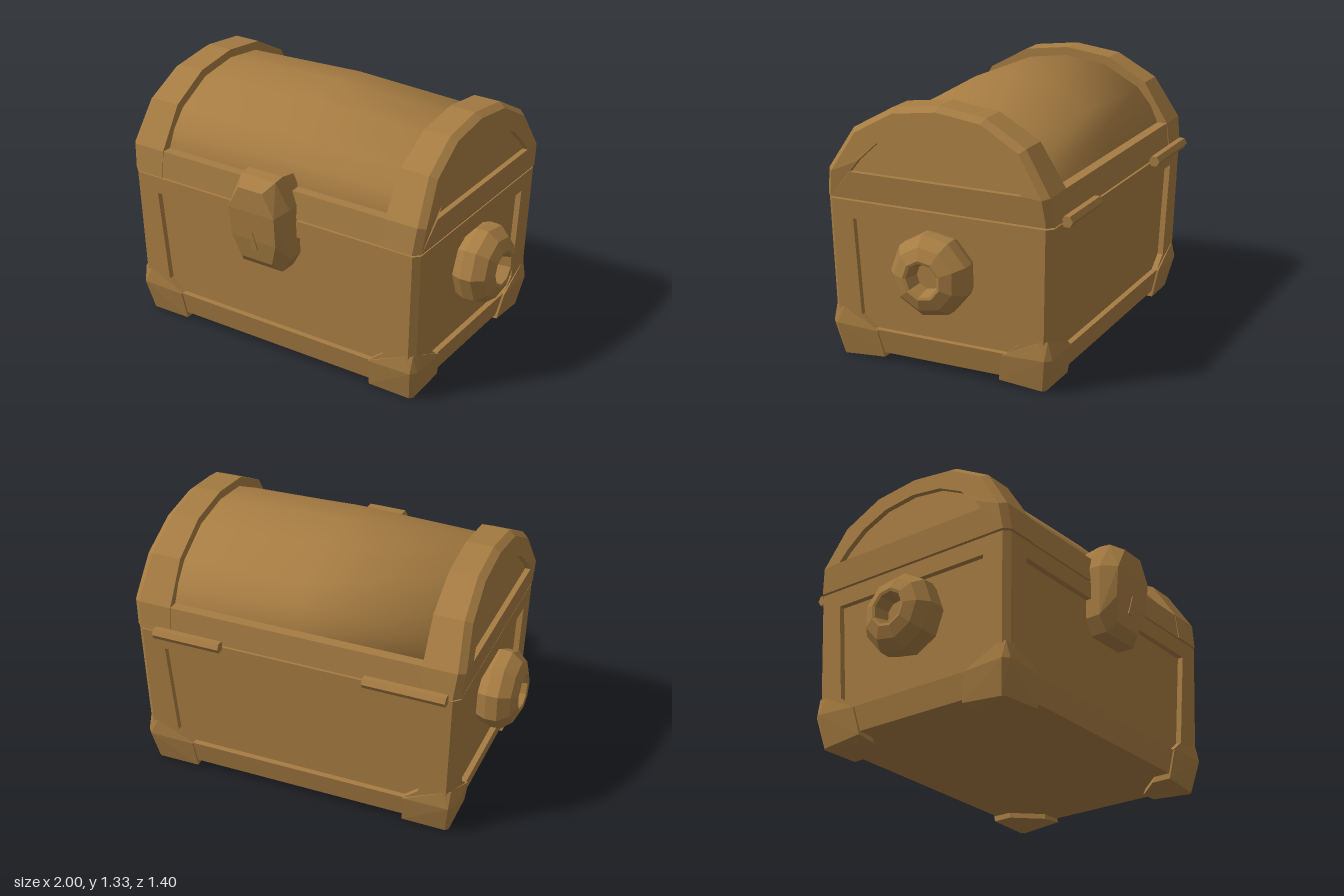
import * as THREE from 'three';
import { ConvexGeometry } from 'three/addons/geometries/ConvexGeometry.js';

const wood = new THREE.MeshStandardMaterial({ color: 0xa67c42, side: THREE.DoubleSide });
wood.name = 'brown wood';
const CENTRE_Z = -0.045; // the chest sits slightly behind the latch

const V = (x, y, z) => new THREE.Vector3(x, y, z);

function flat(geometry) {
  const g = geometry.index ? geometry.toNonIndexed() : geometry;
  g.computeVertexNormals();
  return g;
}

function add(parent, name, geometry, x = 0, y = 0, z = 0) {
  const mesh = new THREE.Mesh(geometry, wood);
  mesh.name = name;
  mesh.position.set(x, y, z);
  parent.add(mesh);
  return mesh;
}

// Joins closed rings of equal length and caps both ends
function loft(rings) {
  const n = rings[0].length;
  const pts = rings.flat();
  const index = [];
  for (let r = 0; r < rings.length - 1; r++) {
    for (let i = 0; i < n; i++) {
      const a = r * n + i, b = r * n + (i + 1) % n;
      index.push(a, b, b + n, a, b + n, a + n);
    }
  }
  const last = (rings.length - 1) * n;
  for (let i = 1; i < n - 1; i++) {
    index.push(0, i + 1, i);
    index.push(last, last + i, last + i + 1);
  }
  const g = new THREE.BufferGeometry().setFromPoints(pts);
  g.setIndex(index);
  g.computeVertexNormals();
  return g;
}

// Horizontal rectangle with cut corners, for lofting upwards
function rectRing(y, hx, hz, c) {
  return [[hx, hz - c], [hx - c, hz], [c - hx, hz], [-hx, hz - c],
    [-hx, c - hz], [c - hx, -hz], [hx - c, -hz], [hx, c - hz]]
    .map(([x, z]) => V(x, y, z)).reverse();
}

// Mirrors half an arch ending at its crown: [z, y] points from front to back
const arch = (half) => [...half, ...half.slice(0, -1).reverse().map(([z, y]) => [-z, y])];

// Flaring walls of the body
const halfX = (y) => 0.83 + 0.02 * (y - 0.165) / 0.655;
const halfZ = (y) => 0.585 + 0.015 * (y - 0.165) / 0.655;
const DEPTH = 0.03;

// Raised frame around one sunken wall panel, with chamfered outer edges
function wallFrame(width, distance, [top, low, foot]) {
  const half = [[width(0.165) - DEPTH, 0.165], [width(0.82) - DEPTH, 0.82]];
  const inner = [[top, 0.73], [low, 0.23], [foot, 0.165]];
  const pts = [...half, ...half.slice().reverse().map(([u, y]) => [-u, y]),
    ...inner.slice().reverse().map(([u, y]) => [-u, y]), ...inner];
  const shape = new THREE.Shape(pts.map(([u, y]) => new THREE.Vector2(u, y)));
  const g = new THREE.ExtrudeGeometry(shape, { depth: DEPTH, bevelEnabled: false });
  const p = g.attributes.position;
  for (let i = 0; i < p.count; i++) {
    const u = p.getX(i), y = p.getY(i), d = DEPTH - p.getZ(i);
    if (Math.abs(u) > width(y) - 0.05) p.setX(i, u + Math.sign(u) * d);
    p.setZ(i, distance(y) - d);
  }
  return flat(g);
}

function buildBody() {
  const body = new THREE.Group();
  body.name = 'body';
  add(body, 'panels', flat(loft([0.1, 0.835].map((y) =>
    rectRing(y, halfX(y) - DEPTH, halfZ(y) - DEPTH, 0.01)))));
  add(body, 'skirt', flat(loft([rectRing(0.04, 0.805, 0.56, 0.03), rectRing(0.165, 0.83, 0.585, 0.03)])));
  for (let k = 0; k < 4; k++) {
    const g = k % 2 ? wallFrame(halfZ, halfX, [0.455, 0.43, 0.355])
      : wallFrame(halfX, halfZ, [0.70, 0.66, 0.58]);
    add(body, 'wallFrame', g).rotation.y = k * Math.PI / 2;
  }
  // Corner feet
  const foot = [[0.78, 0.255, 0.59], [0.835, 0.255, 0.53], [0.825, 0.262, 0.575],
    [0.845, 0.17, 0.565], [0.82, 0.17, 0.597], [0.58, 0.165, 0.595], [0.57, 0.01, 0.565],
    [0.84, 0.16, 0.34], [0.815, 0.02, 0.315], [0.81, 0, 0.54], [0.795, 0, 0.555],
    [0.57, 0.01, 0.46], [0.70, 0.01, 0.32], [0.59, 0.16, 0.5], [0.74, 0.16, 0.35]];
  for (const sx of [-1, 1]) for (const sz of [-1, 1]) {
    add(body, 'cornerFoot', new ConvexGeometry(foot.map(([x, y, z]) => V(x * sx, y, z * sz))));
  }
  // Round side knobs with a sunken socket
  const knob = [[0.19, 0], [0.208, 0.05], [0.205, 0.11], [0.16, 0.165], [0.1, 0.19],
    [0.085, 0.185], [0.065, 0.11], [0, 0.11]].map(([r, h]) => new THREE.Vector2(r, h));
  for (const s of [-1, 1]) {
    add(body, 'sideKnob', flat(new THREE.LatheGeometry(knob, 9)), s * 0.81, 0.53, 0)
      .rotation.z = -s * Math.PI / 2;
  }
  body.position.z = CENTRE_Z;
  return body;
}

function buildLid() {
  const lid = new THREE.Group();
  lid.name = 'lid';
  add(lid, 'lidRail', flat(loft([rectRing(0.83, 0.68, 0.6, 0.001), rectRing(0.97, 0.68, 0.585, 0.001)])));
  // Curved top, swelling slightly at the middle
  const curve = arch([[0.53, 0.86], [0.532, 0.97], [0.49, 1.06], [0.415, 1.15], [0.22, 1.255], [0, 1.285]]);
  const barrelRing = (x, swell) => curve.map(([z, y]) => V(x, 0.95 + (y - 0.95) * swell, z));
  add(lid, 'curvedTop', loft([barrelRing(-0.68, 1), barrelRing(0, 1.09), barrelRing(0.68, 1)]));
  // End bands with a sunken arched panel
  const outer = arch([[0.605, 0.83], [0.587, 0.97], [0.455, 1.18], [0.245, 1.298], [0, 1.33]]);
  const panel = arch([[0.455, 0.97], [0.41, 1.03], [0.315, 1.12], [0.175, 1.19], [0, 1.215]]);
  const inset = outer.map(([z, y]) => [z * 0.95, 0.83 + (y - 0.83) * 0.95]);
  const bulge = (y) => (y < 0.97 ? 0.015 * (y - 0.83) / 0.14 : 0.015 - 0.1 * (y - 0.97));
  for (const s of [-1, 1]) {
    const ring = (pts, x, b) => pts.map(([z, y]) => V(s * (x + b * bulge(y)), y, z));
    const g = loft([ring(outer, 0.66, 0), ring(outer, 0.82, 1), ring(inset, 0.853, 1),
      ring(panel, 0.853, 1), ring(panel, 0.825, 1)]);
    add(lid, 'lidEndBand', flat(g));
  }
  lid.position.z = CENTRE_Z;
  return lid;
}

export function createModel() {
  const chest = new THREE.Group();
  chest.name = 'chest';
  chest.add(buildBody(), buildLid());

  // Faceted latch, with half its corners mirrored
  const half = [[0.10, 1.03, 0.48], [0.10, 1.047, 0.57], [0.10, 1.04, 0.63], [0.07, 1.0, 0.70],
    [0.165, 0.9, 0.48], [0.165, 0.9, 0.61], [0.135, 0.88, 0.70], [0.165, 0.63, 0.5],
    [0.165, 0.63, 0.6], [0.13, 0.72, 0.682], [0.12, 0.55, 0.52], [0.12, 0.55, 0.61],
    [0.09, 0.6, 0.657]];
  add(chest, 'latch', new ConvexGeometry(half.flatMap(([x, y, z]) => [V(x, y, z), V(-x, y, z)])));
  const slit = new THREE.Shape([[-0.02, 0], [0.02, 0], [0, 0.1]].map(([x, y]) => new THREE.Vector2(x, y)));
  add(chest, 'keyhole', new THREE.ExtrudeGeometry(slit, { depth: 0.008, bevelEnabled: false }), 0, 0.67, 0.672)
    .rotation.x = 0.14;

  // Rear hinges
  for (const [x, length] of [[-0.59, 0.42], [0.555, 0.36]]) {
    add(chest, 'hinge', flat(new THREE.CylinderGeometry(0.03, 0.03, length, 6)), x, 0.835, -0.67)
      .rotation.set(0, 0, Math.PI / 2);
  }
  return chest;
}
